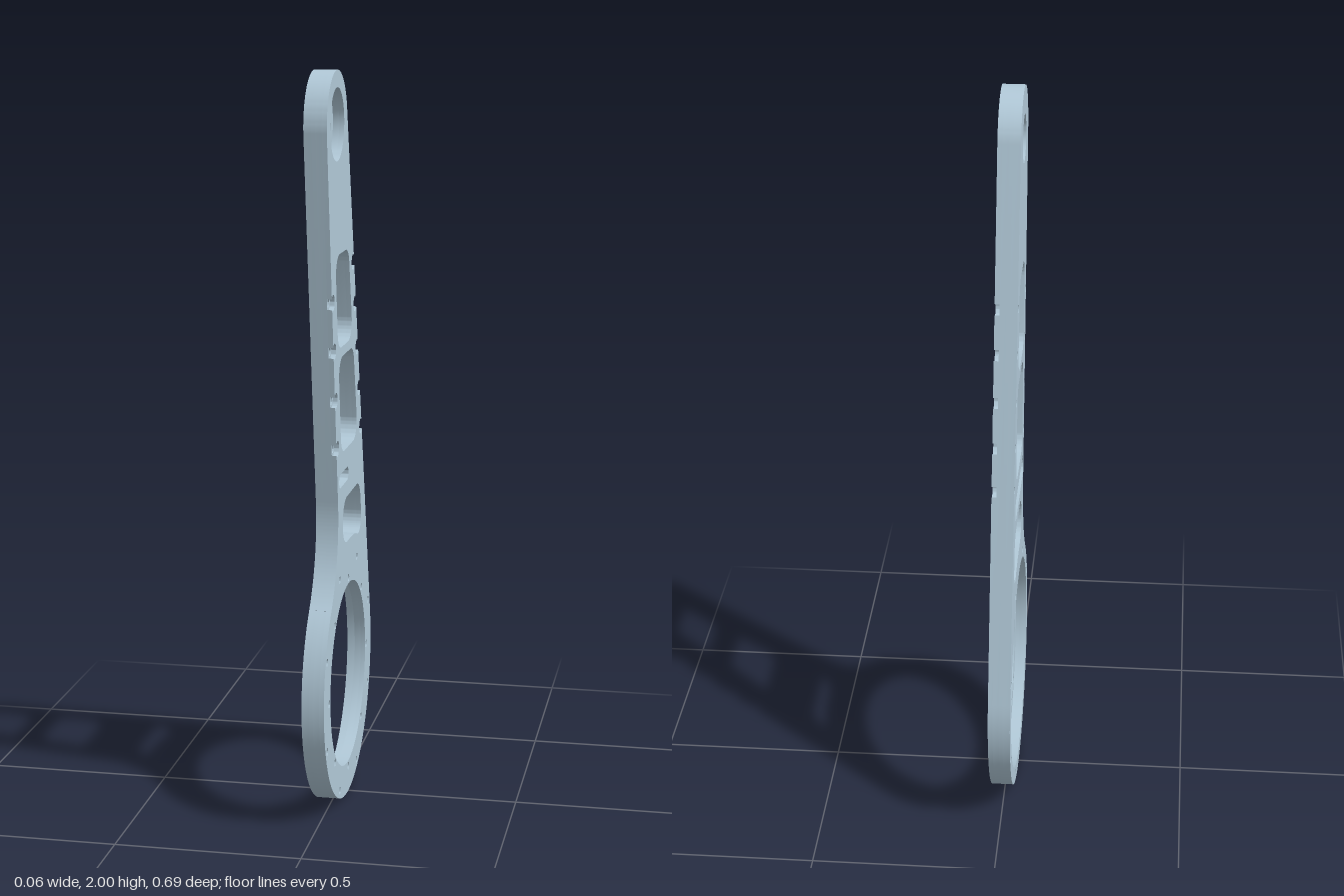
import * as THREE from 'three';
import { toCreasedNormals } from 'three/addons/utils/BufferGeometryUtils.js';

// Profile plane: u points to -z, v points up; slices are stacked along x.
const RING = { u: 0, v: 0.345, r: 0.345 };
const EYE = { u: -0.16, v: 1.862, r: 0.138 };
const FILLET = { u: -0.464, v: 0.818, r: 0.317 };
const RIGHT_ANGLE = THREE.MathUtils.degToRad(13.82);   // outward normal of the right flank
const LEFT_ANGLE = THREE.MathUtils.degToRad(188.5);    // outward normal of the left flank
const INSET = 0.015, NOTCH_R = 0.021, BOLT_R = 0.012;

// Bolt centres lie just inside each straight flank
function flankBolts(angle, heights) {
  const n = new THREE.Vector2(Math.cos(angle), Math.sin(angle));
  const d = new THREE.Vector2(-n.y, n.x);
  const start = new THREE.Vector2(EYE.u, EYE.v).addScaledVector(n, EYE.r - INSET);
  return heights.map((v) => ({ n, d, p: start.clone().addScaledVector(d, (v - start.y) / d.y) }));
}
const rightBolts = flankBolts(RIGHT_ANGLE, [1.005, 1.119, 1.238, 1.362, 1.479]);
const leftBolts = flankBolts(LEFT_ANGLE, [1.41, 1.28, 1.146, 1.013]);

// Arm silhouette, optionally with open bolt seats cut into the flanks
function outline(notched) {
  const s = new THREE.Shape();
  const half = Math.sqrt(NOTCH_R ** 2 - INSET ** 2);
  const cut = ({ n, d, p }) => {
    const a = n.clone().multiplyScalar(INSET).addScaledVector(d, -half);
    const b = n.clone().multiplyScalar(INSET).addScaledVector(d, half);
    s.lineTo(p.x + a.x, p.y + a.y);
    s.absarc(p.x, p.y, NOTCH_R, a.angle(), b.angle(), true);
  };
  s.moveTo(RING.u + RING.r * Math.cos(RIGHT_ANGLE), RING.v + RING.r * Math.sin(RIGHT_ANGLE));
  if (notched) rightBolts.forEach(cut);
  s.absarc(EYE.u, EYE.v, EYE.r, RIGHT_ANGLE, LEFT_ANGLE, false);
  if (notched) leftBolts.forEach(cut);
  const toRing = Math.atan2(RING.v - FILLET.v, RING.u - FILLET.u);
  s.absarc(FILLET.u, FILLET.v, FILLET.r, LEFT_ANGLE - Math.PI, toRing, true);
  s.absarc(RING.u, RING.v, RING.r, toRing + Math.PI, RIGHT_ANGLE + 2 * Math.PI, false);
  return s;
}

function circle(u, v, r) {
  return new THREE.Path().absarc(u, v, r, 0, Math.PI * 2, true);
}

// Closed polygon of [u, v, cornerRadius] with round corners
function roundedPoly(corners) {
  const path = new THREE.Path();
  const count = corners.length;
  corners.forEach(([u, v, r], i) => {
    const c = new THREE.Vector2(u, v);
    const [pu, pv] = corners[(i + count - 1) % count];
    const [nu, nv] = corners[(i + 1) % count];
    const a = new THREE.Vector2(pu, pv).sub(c).normalize();
    const b = new THREE.Vector2(nu, nv).sub(c).normalize();
    const phi = Math.acos(a.dot(b));
    const t = r / Math.tan(phi / 2);
    const k = t - (4 / 3) * Math.tan((Math.PI - phi) / 4) * r;
    const at = (dir, len) => c.clone().addScaledVector(dir, len);
    const p0 = at(a, t), c0 = at(a, k), c1 = at(b, k), p1 = at(b, t);
    if (i === 0) path.moveTo(p0.x, p0.y);
    else path.lineTo(p0.x, p0.y);
    path.bezierCurveTo(c0.x, c0.y, c1.x, c1.y, p1.x, p1.y);
  });
  path.closePath();
  return path;
}

const slot = (u0, u1, v, r) => roundedPoly([
  [u0, v + r, r * 0.99], [u1, v + r, r * 0.99], [u1, v - r, r * 0.99], [u0, v - r, r * 0.99],
]);

// One slice of the plate between two x positions
function slice(x0, x1, { groove, recess, notched }) {
  const s = outline(notched);
  s.holes.push(
    // lightening windows
    roundedPoly([[-0.186, 1.525, 0.05], [-0.003, 1.525, 0.05], [0.056, 1.275, 0.05], [-0.149, 1.275, 0.05]]),
    roundedPoly([[-0.144, 1.249, 0.05], [0.067, 1.249, 0.05], [0.132, 0.987, 0.05], [-0.104, 0.987, 0.05]]),
    roundedPoly([[-0.083, 0.852, 0.06], [0.165, 0.852, 0.055], [0.207, 0.683, 0.045],
      [0.09, 0.722, 0.3], [-0.083, 0.727, 0.06]]),
    // cable slot, wider where it forms the groove
    groove ? slot(-0.15, 0.15, 0.915, 0.03) : slot(-0.135, -0.003, 0.915, 0.0185),
    // ring opening and eye bore, each stepped through the thickness
    circle(RING.u, RING.v, recess ? 0.3 : 0.2566),
    circle(EYE.u, EYE.v, recess ? 0.0635 : 0.094),
  );
  // screw holes round the ring
  for (let i = 0; i < 8; i++) {
    const a = (i * Math.PI) / 4, b = a + Math.PI / 8;
    s.holes.push(circle(RING.u + 0.324 * Math.cos(b), RING.v + 0.324 * Math.sin(b), 0.0105));
    if (!recess) s.holes.push(circle(RING.u + 0.272 * Math.cos(a), RING.v + 0.272 * Math.sin(a), 0.0105));
  }
  // flank bolt holes
  if (!notched) {
    for (const { p } of [...leftBolts, ...rightBolts]) s.holes.push(circle(p.x, p.y, BOLT_R));
  }
  const g = new THREE.ExtrudeGeometry(s, { depth: x1 - x0, bevelEnabled: false, curveSegments: 28 });
  g.translate(0, 0, x0);
  g.rotateY(Math.PI / 2);
  return toCreasedNormals(g, 0.5);
}

export function createModel() {
  const model = new THREE.Group();
  model.name = 'plateArm';
  const metal = new THREE.MeshStandardMaterial({ color: 0xb2cad9 });
  metal.name = 'paleBlueMetal';
  const add = (name, x0, x1, features) => {
    const mesh = new THREE.Mesh(slice(x0, x1, features), metal);
    mesh.name = name;
    model.add(mesh);
  };
  add('groovedBackPlate', -0.03, -0.01, { groove: true, recess: true });
  add('recessedPlate', -0.01, 0, { recess: true });
  add('ledgePlate', 0, 0.017, {});
  add('boltSeatPlate', 0.017, 0.03, { notched: true });
  return model;
}
